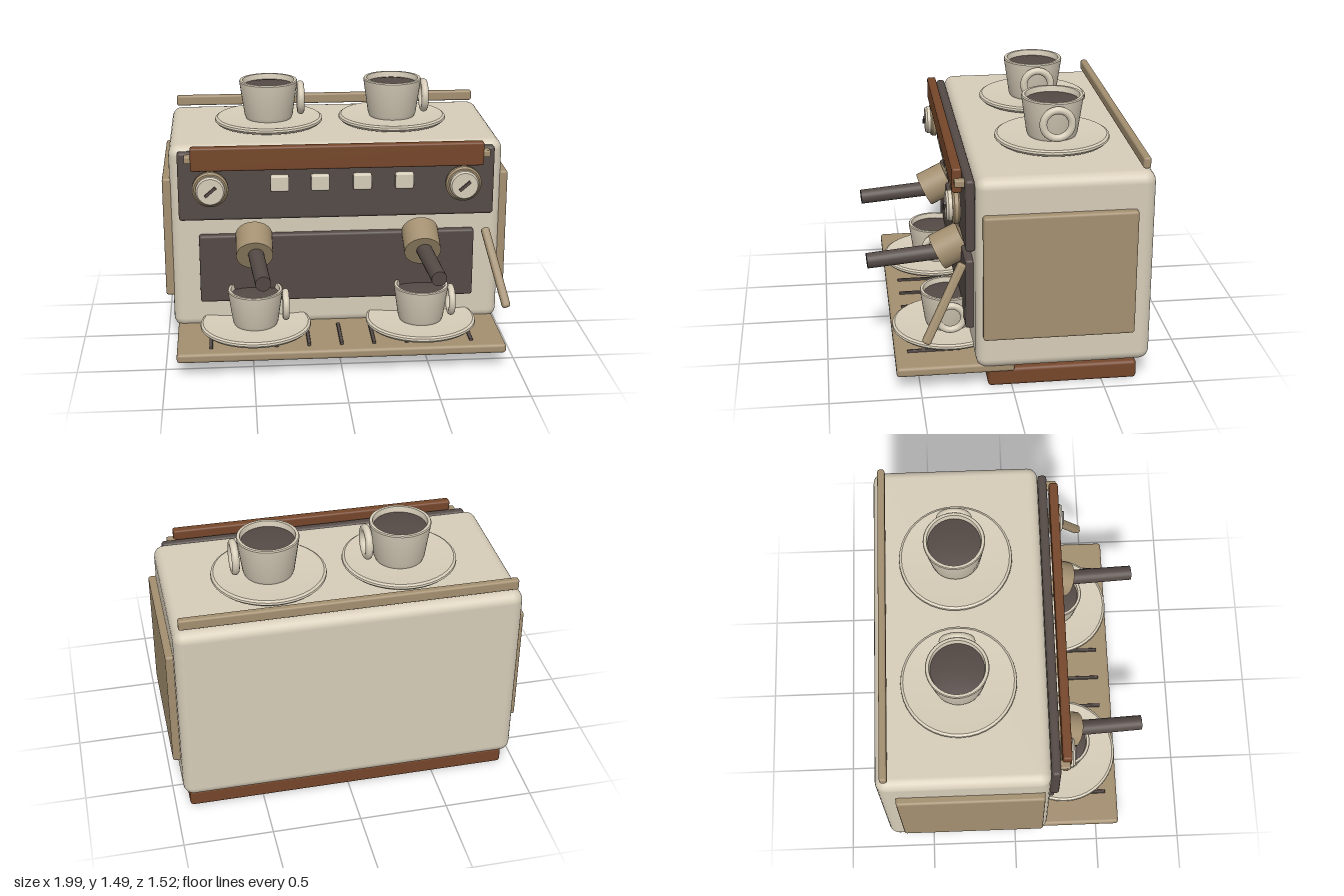
import * as THREE from 'three';
import { toCreasedNormals } from 'three/addons/utils/BufferGeometryUtils.js';
import { RoundedBoxGeometry } from 'three/addons/geometries/RoundedBoxGeometry.js';

const material = (name, color) => {
  const m = new THREE.MeshStandardMaterial({ color });
  m.name = name;
  return m;
};

export function createModel() {
  const cream = material('cream enamel', 0xd6ccb8);
  const tan = material('tan metal', 0xa38f70);
  const dark = material('dark brown', 0x544a46);
  const wood = material('wood', 0x75462a);
  const model = new THREE.Group();
  model.name = 'espressoMachine';

  const add = (name, geometry, mat, parent = model) => {
    const mesh = new THREE.Mesh(geometry, mat);
    mesh.name = name;
    parent.add(mesh);
    return mesh;
  };

  // Rounded box given by its extents on each axis
  const block = (name, mat, [x0, x1], [y0, y1], [z0, z1], radius = 0.012) => {
    const mesh = add(name, new RoundedBoxGeometry(x1 - x0, y1 - y0, z1 - z0, 3, radius), mat);
    mesh.position.set((x0 + x1) / 2, (y0 + y1) / 2, (z0 + z1) / 2);
    return mesh;
  };

  // Turn and move a y-aligned mesh so that it runs from a to b
  const span = (mesh, a, b) => {
    const dir = b.clone().sub(a).normalize();
    mesh.position.copy(a).add(b).multiplyScalar(0.5);
    mesh.quaternion.setFromUnitVectors(new THREE.Vector3(0, 1, 0), dir);
  };

  const lathe = (points) => toCreasedNormals(
    new THREE.LatheGeometry(points.map(([r, y]) => new THREE.Vector2(r, y)), 40), 0.6);

  // Housing, base, drip tray and side panels
  block('body', cream, [-0.955, 0.955], [0.12, 1.225], [-0.76, 0.196], 0.06);
  block('base', wood, [-0.92, 0.92], [0, 0.105], [-0.695, 0.13], 0.02);
  block('dripTray', tan, [-0.932, 0.932], [0.09, 0.145], [-0.016, 0.63], 0.018);
  for (const s of [-1, 1]) {
    const edges = [s * 0.94, s * 0.997].sort((a, b) => a - b);
    block('sidePanel', tan, edges, [0.317, 1.03], [-0.66, 0.163], 0.015);
  }
  for (let i = -4; i <= 4; i++) {
    const x = i * 0.185;
    block('traySlot', dark, [x - 0.01, x + 0.01], [0.14, 0.158], [0.27, 0.56], 0.005);
  }

  // Front panels, wooden bar and back rail
  block('controlPanel', dark, [-0.905, 0.9], [0.8, 1.205], [0.196, 0.248], 0.018);
  block('splashPanel', dark, [-0.795, 0.795], [0.297, 0.705], [0.19, 0.24], 0.015);
  block('woodenBar', wood, [-0.83, 0.826], [1.11, 1.247], [0.258, 0.31], 0.012);
  for (const x of [-0.84, 0.84]) {
    block('barBracket', tan, [x - 0.025, x + 0.025], [1.155, 1.195], [0.24, 0.3], 0.008);
  }
  block('backRail', tan, [-0.925, 0.922], [1.238, 1.3], [-0.728, -0.687], 0.012);

  // Buttons
  for (const x of [-0.33, -0.1, 0.14, 0.38]) {
    block('button', cream, [x - 0.052, x + 0.052], [0.975, 1.067], [0.24, 0.285], 0.01);
  }

  // Gauges
  const ringGeometry = lathe([[0, 0], [0.09, 0], [0.102, 0.01], [0.102, 0.032], [0.092, 0.042], [0, 0.042]]);
  const faceGeometry = lathe([[0, 0], [0.083, 0], [0.083, 0.022], [0.074, 0.034], [0, 0.034]]);
  for (const x of [-0.722, 0.716]) {
    const gauge = new THREE.Group();
    gauge.name = 'gauge';
    gauge.position.set(x, 1, 0.262);
    gauge.rotation.x = Math.PI / 2;
    model.add(gauge);
    add('gaugeRing', ringGeometry, tan, gauge);
    add('gaugeFace', faceGeometry, cream, gauge).position.y = 0.04;
    const needle = add('gaugeNeedle', new THREE.BoxGeometry(0.08, 0.014, 0.016), dark, gauge);
    needle.position.y = 0.08;
    needle.rotation.y = Math.PI / 4.4;
  }

  // Brew heads with angled handles
  for (const x of [-0.481, 0.479]) {
    const head = add('brewHead', new THREE.CylinderGeometry(0.105, 0.105, 0.168, 32), tan);
    span(head, new THREE.Vector3(x, 0.7, 0.215), new THREE.Vector3(x, 0.625, 0.365));
    const handle = add('brewHandle', new THREE.CylinderGeometry(0.043, 0.045, 0.42, 24), dark);
    span(handle, new THREE.Vector3(x + 0.006, 0.634, 0.34), new THREE.Vector3(x + 0.036, 0.608, 0.762));
  }

  // Steam wand
  const top = new THREE.Vector3(0.853, 0.715, 0.262);
  const tip = new THREE.Vector3(0.955, 0.31, 0.47);
  const wand = add('steamWand', new RoundedBoxGeometry(0.048, top.distanceTo(tip) + 0.01, 0.048, 3, 0.015), tan);
  span(wand, tip, top);

  // Cups on saucers
  const saucerGeometry = lathe([[0, 0], [0.26, 0], [0.305, 0.01], [0.32, 0.025], [0.318, 0.037],
    [0.305, 0.045], [0.2, 0.036], [0, 0.034]]);
  const cupGeometry = lathe([[0, -0.01], [0.134, -0.01], [0.143, 0.01], [0.172, 0.213], [0.168, 0.22],
    [0.152, 0.22], [0.145, 0.18], [0, 0.18]]);
  const coffeeGeometry = lathe([[0.147, 0.188], [0.1, 0.196], [0.05, 0.2], [0, 0.201]]);
  const loopGeometry = new THREE.TorusGeometry(0.079, 0.021, 14, 40);
  const addCup = (x, y, z, size) => {
    const set = new THREE.Group();
    set.name = 'cupAndSaucer';
    set.position.set(x, y, z);
    model.add(set);
    add('saucer', saucerGeometry, cream, set);
    const cup = new THREE.Group();
    cup.name = 'cup';
    cup.position.y = 0.045;
    cup.scale.setScalar(size);
    set.add(cup);
    add('cupBowl', cupGeometry, cream, cup);
    add('coffee', coffeeGeometry, dark, cup);
    const loop = add('cupHandle', loopGeometry, cream, cup);
    loop.position.set(0.19, 0.108, 0);
    loop.rotation.y = Math.PI / 2;
  };
  for (const s of [-1, 1]) {
    addCup(s * 0.369, 1.225, -0.291, 1);
    addCup(s * 0.481, 0.155, 0.309, 0.92);
  }

  return model;
}
